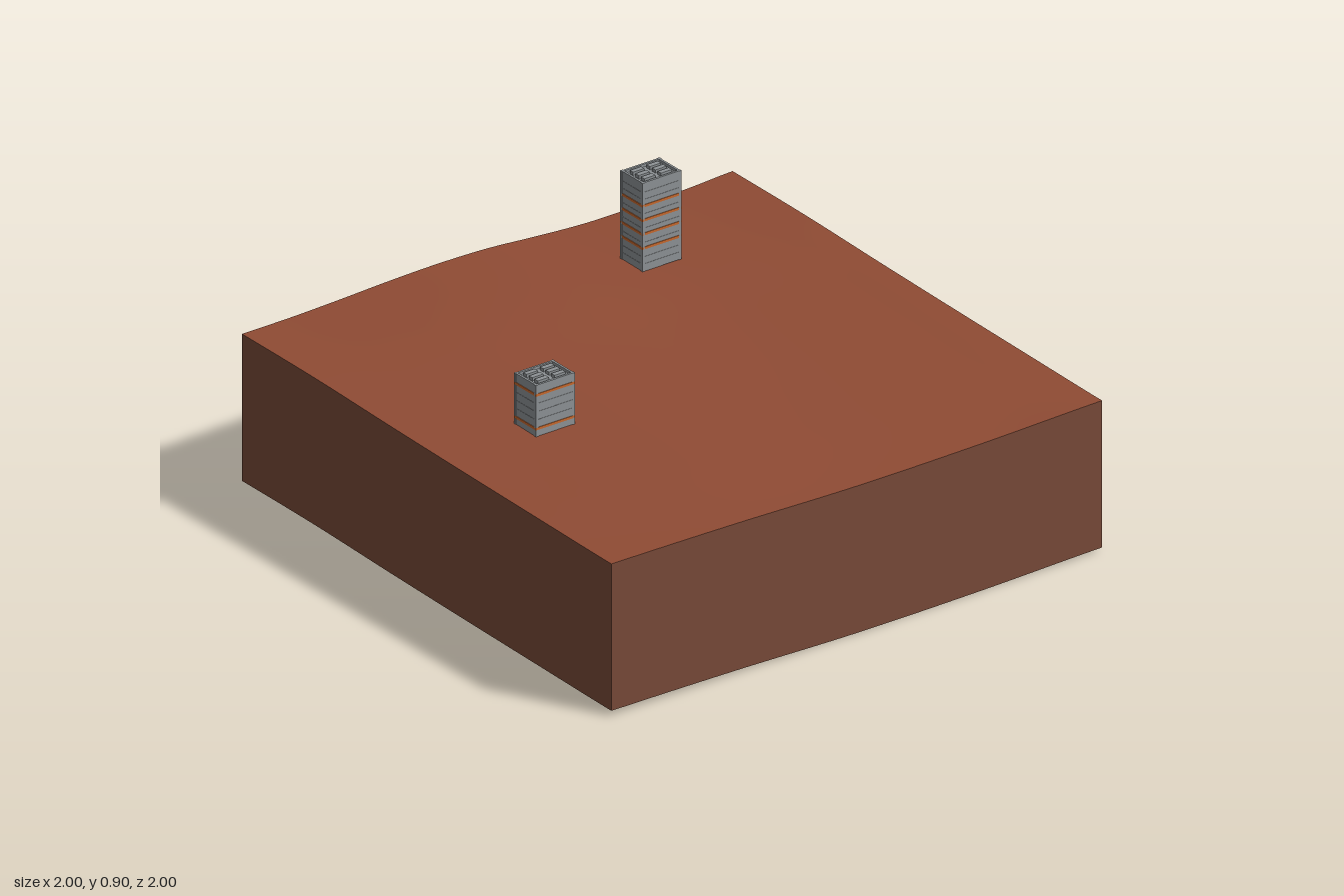
import * as THREE from 'three';

const soil = new THREE.MeshStandardMaterial({ color: 0x8f4b34, side: THREE.DoubleSide });
soil.name = 'red soil';
const cutEarth = new THREE.MeshStandardMaterial({ color: 0x784a38, side: THREE.DoubleSide });
cutEarth.name = 'cut earth';
const concrete = new THREE.MeshStandardMaterial({ color: 0x8e9396 });
concrete.name = 'concrete grey';
const orange = new THREE.MeshStandardMaterial({ color: 0xc8692e });
orange.name = 'orange trim';

const SKIRT = 0.535;

// Evenly spaced samples over -1..1, joined by a smooth curve
function profile(values) {
  const curve = new THREE.SplineCurve(values.map((v, i) => new THREE.Vector2(i, v)));
  return (u) => curve.getPoint(THREE.MathUtils.clamp((u + 1) / 2, 0, 1)).y;
}
const highEdge = profile([0.58, 0.571, 0.57, 0.571, 0.584, 0.6, 0.605, 0.602, 0.595, 0.59, 0.59]);
const lowEdge = profile([0.545, 0.536, 0.535, 0.547, 0.553]);
const fall = profile([0, 0.08, 0.38, 0.62, 0.82, 1]);
const ground = (x, z) => THREE.MathUtils.lerp(highEdge(z), lowEdge(z), fall(x));

function drape(geometry) {
  const p = geometry.attributes.position;
  for (let i = 0; i < p.count; i++) {
    const drop = p.getY(i) < -0.01 ? SKIRT : 0;
    p.setY(i, ground(p.getX(i), p.getZ(i)) - drop);
  }
  geometry.computeVertexNormals();
  return geometry;
}

function add(parent, name, geometry, material, x = 0, y = 0, z = 0) {
  const mesh = new THREE.Mesh(geometry, material);
  mesh.name = name;
  mesh.position.set(x, y, z);
  parent.add(mesh);
  return mesh;
}

// Tower standing on its base, with trim bands at the given heights above it
function tower(name, x, y, z, height, bands, floors) {
  const g = new THREE.Group();
  g.name = name;
  g.position.set(x, y, z);
  const w = 0.116, d = 0.156, rim = 0.008, rimH = 0.01;
  const roofY = height - rimH;
  add(g, 'towerBody', new THREE.BoxGeometry(w, roofY, d), concrete, 0, roofY / 2, 0);

  // Floor ledges
  for (let i = 1; i < floors; i++) {
    add(g, 'floorLedge', new THREE.BoxGeometry(w + 0.002, 0.004, d + 0.002), concrete, 0, (i * roofY) / floors, 0);
  }
  // Orange bands
  for (const h of bands) {
    add(g, 'orangeBand', new THREE.BoxGeometry(w + 0.004, 0.009, d + 0.004), orange, 0, h, 0);
  }
  // Parapet and roof units
  for (const s of [-1, 1]) {
    add(g, 'parapetSide', new THREE.BoxGeometry(rim, rimH, d), concrete, s * (w - rim) / 2, height - rimH / 2, 0);
    add(g, 'parapetEnd', new THREE.BoxGeometry(w - 2 * rim, rimH, rim), concrete, 0, height - rimH / 2, s * (d - rim) / 2);
    for (const c of [-1, 0, 1]) {
      add(g, 'roofUnit', new THREE.BoxGeometry(0.018, 0.012, 0.045), concrete, c * 0.03, roofY + 0.006, s * 0.034);
    }
  }
  // Corner pillars
  for (const sx of [-1, 1]) for (const sz of [-1, 1]) {
    add(g, 'cornerPillar', new THREE.BoxGeometry(0.01, height, 0.01), concrete, sx * 0.055, height / 2, sz * 0.075);
  }
  return g;
}

export function createModel() {
  const model = new THREE.Group();
  model.name = 'terrainBlock';

  // Rolling ground surface
  add(model, 'ground', drape(new THREE.PlaneGeometry(2, 2, 40, 40).rotateX(-Math.PI / 2)), soil);

  // Open-bottomed skirt, one wall per side
  for (let k = 0; k < 4; k++) {
    const wall = new THREE.PlaneGeometry(2, SKIRT, 40, 1)
      .translate(0, -SKIRT / 2, 1)
      .rotateY((k * Math.PI) / 2);
    add(model, 'earthWall', drape(wall), cutEarth);
  }

  model.add(tower('tallTower', -0.665, 0.57, -0.415, 0.323, [0.085, 0.136, 0.187, 0.239], 12));
  model.add(tower('shortTower', 0.08, 0.568, 0.58, 0.187, [0.028, 0.151], 6));
  return model;
}
